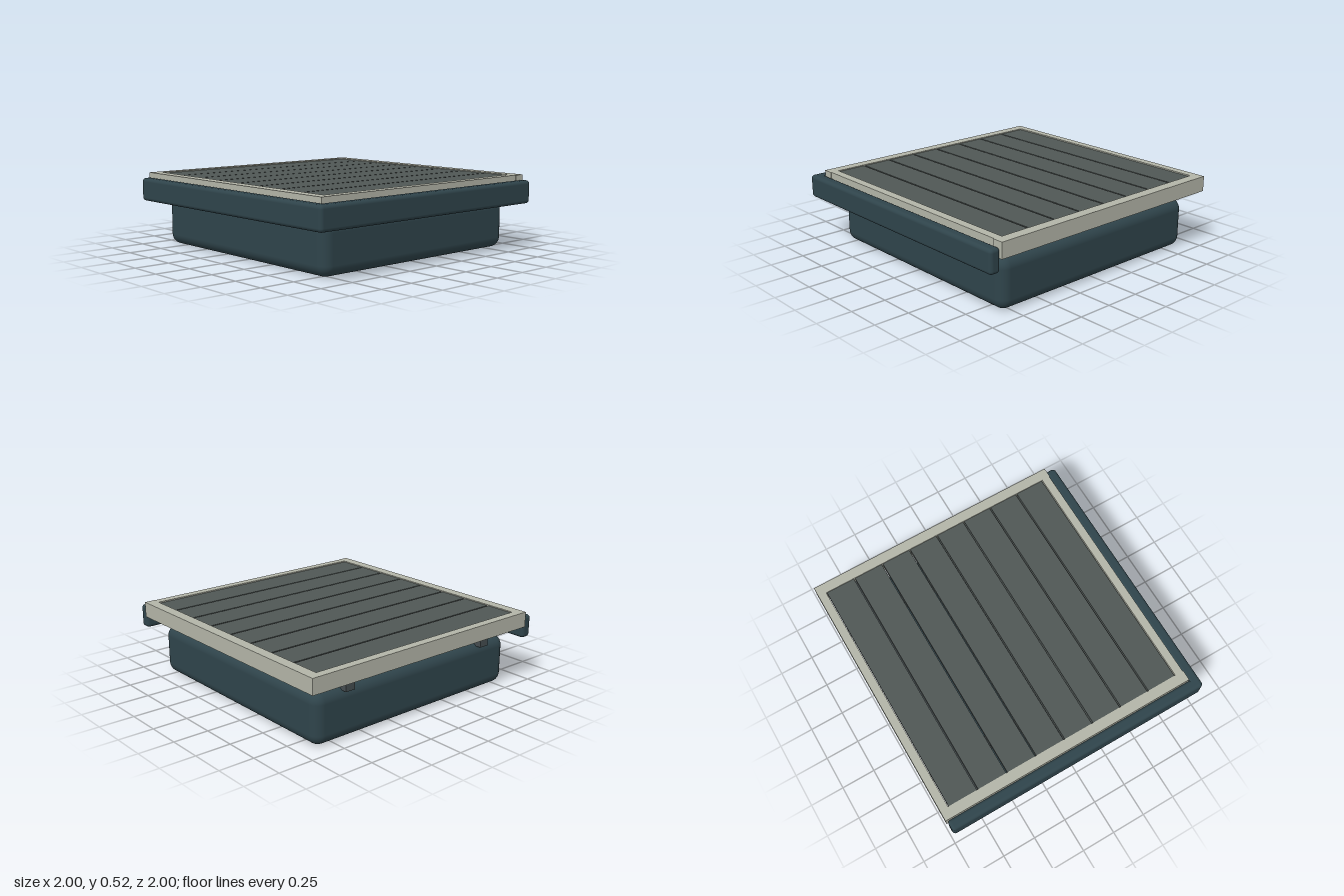
import * as THREE from 'three';
import { RoundedBoxGeometry } from 'three/addons/geometries/RoundedBoxGeometry.js';

const material = (color) => new THREE.MeshStandardMaterial({ color });

export function createModel() {
  const model = new THREE.Group();
  const hull = material(0x2f444b);
  const trim = material(0xb3b5a8);
  const plank = material(0x505755);
  const beam = material(0x454d50);

  // Box given by its extents on each axis; a radius rounds the edges
  function block(name, mat, [x0, x1], [y0, y1], [z0, z1], radius = 0) {
    const size = [x1 - x0, y1 - y0, z1 - z0];
    const geometry = radius
      ? new RoundedBoxGeometry(...size, 5, radius)
      : new THREE.BoxGeometry(...size);
    const mesh = new THREE.Mesh(geometry, mat);
    mesh.name = name;
    mesh.position.set((x0 + x1) / 2, (y0 + y1) / 2, (z0 + z1) / 2);
    model.add(mesh);
  }

  // Buoyant float under the deck
  block('float', hull, [-0.83, 0.9], [0, 0.355], [-0.91, 0.835], 0.075);

  // Bumpers along the front and the right side
  block('frontBumper', hull, [-1, 0.985], [0.325, 0.49], [0.92, 1], 0.025);
  block('sideBumper', hull, [-1, -0.92], [0.325, 0.49], [-0.99, 1], 0.025);

  // Pale frame around the deck
  const frameY = [0.415, 0.525];
  block('rightFrameRail', trim, [-0.925, -0.85], frameY, [-1, 0.92]);
  block('leftFrameRail', trim, [0.92, 0.995], frameY, [-1, 0.92]);
  block('backFrameRail', trim, [-0.85, 0.92], frameY, [-1, -0.94]);
  block('frontFrameRail', trim, [-0.85, 0.92], frameY, [0.855, 0.915]);

  // Deck planks with narrow gaps
  const count = 8, start = -0.94, pitch = (0.855 - start) / count;
  for (let i = 0; i < count; i++) {
    const z = start + i * pitch;
    block('deckPlank', plank, [-0.85, 0.92], [0.47, 0.518], [z + 0.005, z + pitch - 0.005]);
  }

  // Crosswise joists under the planks
  for (const z of [-0.74, -0.035, 0.67])
    block('joist', beam, [-0.85, 0.92], [0.378, 0.47], [z - 0.037, z + 0.037]);

  // Lengthwise bearers resting on the float
  for (const x of [-0.58, 0.64])
    block('bearer', beam, [x - 0.037, x + 0.037], [0.33, 0.46], [-0.93, 0.86]);

  return model;
}
